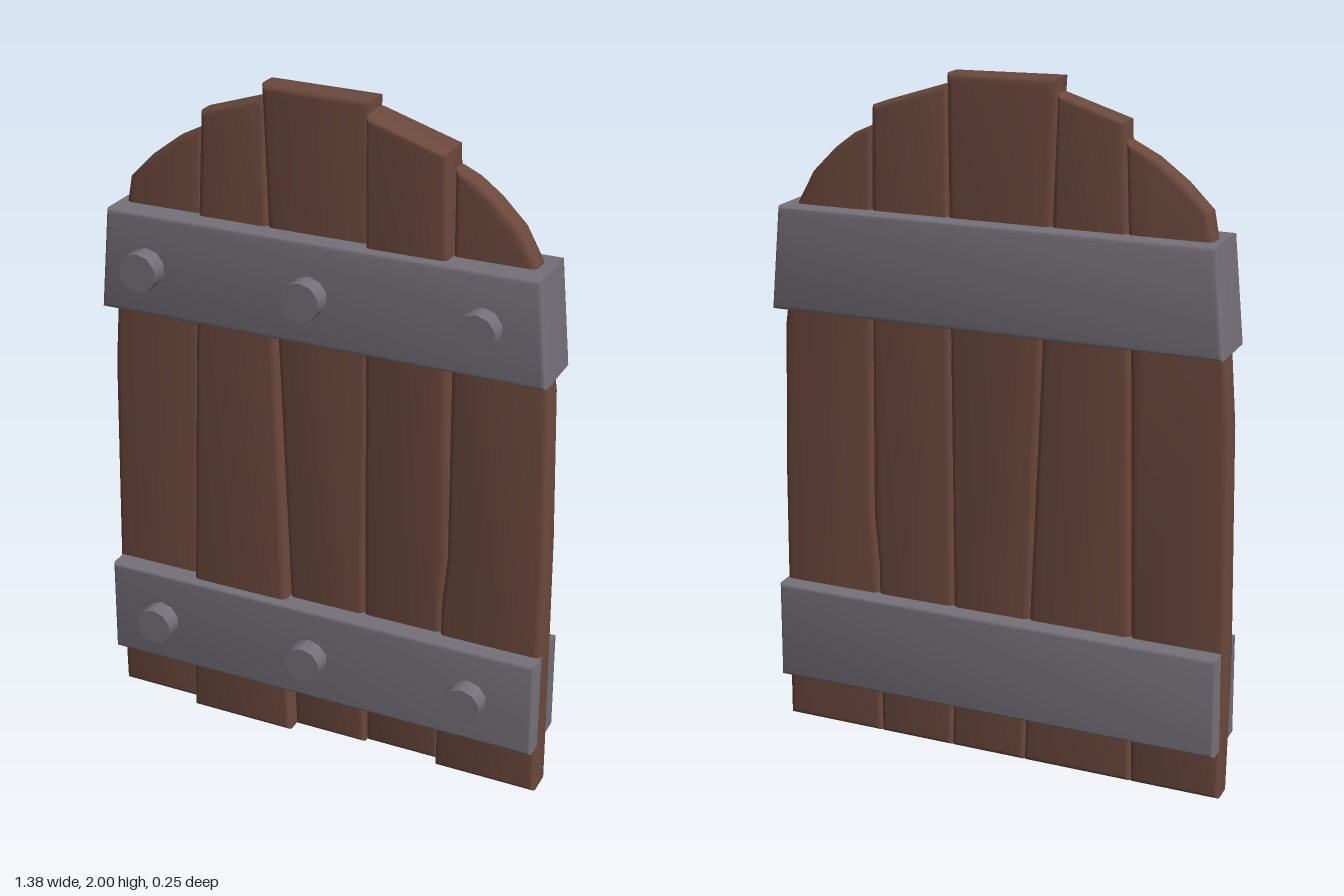
import * as THREE from 'three';
import { toCreasedNormals } from 'three/addons/utils/BufferGeometryUtils.js';

const BACK = -0.075;

// Bevelled slab from an outline; its front face leans from z0 (bottom) to z1 (top)
function slab(points, back, z0, z1, bevel) {
  const shape = new THREE.Shape(points.map(([x, y]) => new THREE.Vector2(x, y)));
  const geo = new THREE.ExtrudeGeometry(shape, {
    depth: 1, bevelEnabled: true, bevelSize: bevel, bevelThickness: bevel,
    bevelOffset: -bevel, bevelSegments: 3,
  });
  const p = geo.attributes.position;
  for (let i = 0; i < p.count; i++) {
    const z = p.getZ(i);
    const front = THREE.MathUtils.lerp(z0, z1, p.getY(i) / 2);
    // the back half keeps its distance to the back, the front half to the front
    p.setZ(i, z < 0.5 ? back + bevel + z : front - bevel + (z - 1));
  }
  return toCreasedNormals(geo, 0.6);
}

export function createModel() {
  const group = new THREE.Group();
  const wood = new THREE.MeshStandardMaterial({ color: 0x6b483c });
  const iron = new THREE.MeshStandardMaterial({ color: 0x757078 });
  const add = (name, geo, mat) => {
    const mesh = new THREE.Mesh(geo, mat);
    mesh.name = name;
    group.add(mesh);
    return mesh;
  };

  // Seams between planks and the curved outer edges, all from bottom to top
  const edges = [
    [[-0.685, 0], [-0.69, 0.4], [-0.675, 1.1], [-0.66, 1.3], [-0.615, 1.6], [-0.6, 1.68], [-0.53, 1.75], [-0.45, 1.81]],
    [[-0.42, 0], [-0.412, 0.45], [-0.395, 1.2], [-0.37, 1.85]],
    [[-0.09, 0], [-0.105, 0.45], [-0.14, 1.3], [-0.165, 1.6], [-0.178, 1.96]],
    [[0.14, 0], [0.132, 0.45], [0.135, 1.3], [0.138, 1.965]],
    [[0.373, 0], [0.373, 0.55], [0.385, 0.7], [0.375, 1.3], [0.365, 1.84]],
    [[0.685, 0], [0.68, 0.36], [0.672, 0.8], [0.655, 1.25], [0.6, 1.61], [0.55, 1.7], [0.48, 1.77], [0.42, 1.815]],
  ];
  // Extra corners along each plank's top, right to left
  const tops = [
    [],
    [[-0.368, 1.9]],
    [[0.138, 1.995], [-0.18, 2]],
    [[0.362, 1.895]],
    [],
  ];
  // Front depth of each plank at the bottom and at the top
  const fronts = [[0.015, -0.01], [0.055, 0], [0.015, 0.012], [0, 0.052], [0.03, -0.01]];
  fronts.forEach(([z0, z1], i) => {
    const outline = [...edges[i + 1], ...tops[i], ...[...edges[i]].reverse()];
    add('plank' + (i + 1), slab(outline, BACK, z0, z1, 0.018), wood);
  });

  // Iron bands wrapping the planks, with three rivets each
  const bands = [
    ['lowerBand', 0.155, 0.455, 0.682, 0.678],
    ['upperBand', 1.305, 1.605, 0.665, 0.635],
  ];
  const rivetGeo = new THREE.CylinderGeometry(0.057, 0.057, 0.07, 10);
  rivetGeo.rotateX(Math.PI / 2);
  const rivet = toCreasedNormals(rivetGeo, 0.7);
  for (const [name, y0, y1, w0, w1] of bands) {
    const outline = [[-w0, y0], [w0, y0], [w1, y1], [-w1, y1]];
    add(name, slab(outline, -0.125, 0.07, 0.07, 0.012), iron);
    for (const x of [-0.512, -0.015, 0.485]) {
      add(name + 'Rivet', rivet, iron).position.set(x, (y0 + y1) / 2 - 0.003, 0.09);
    }
  }
  return group;
}
